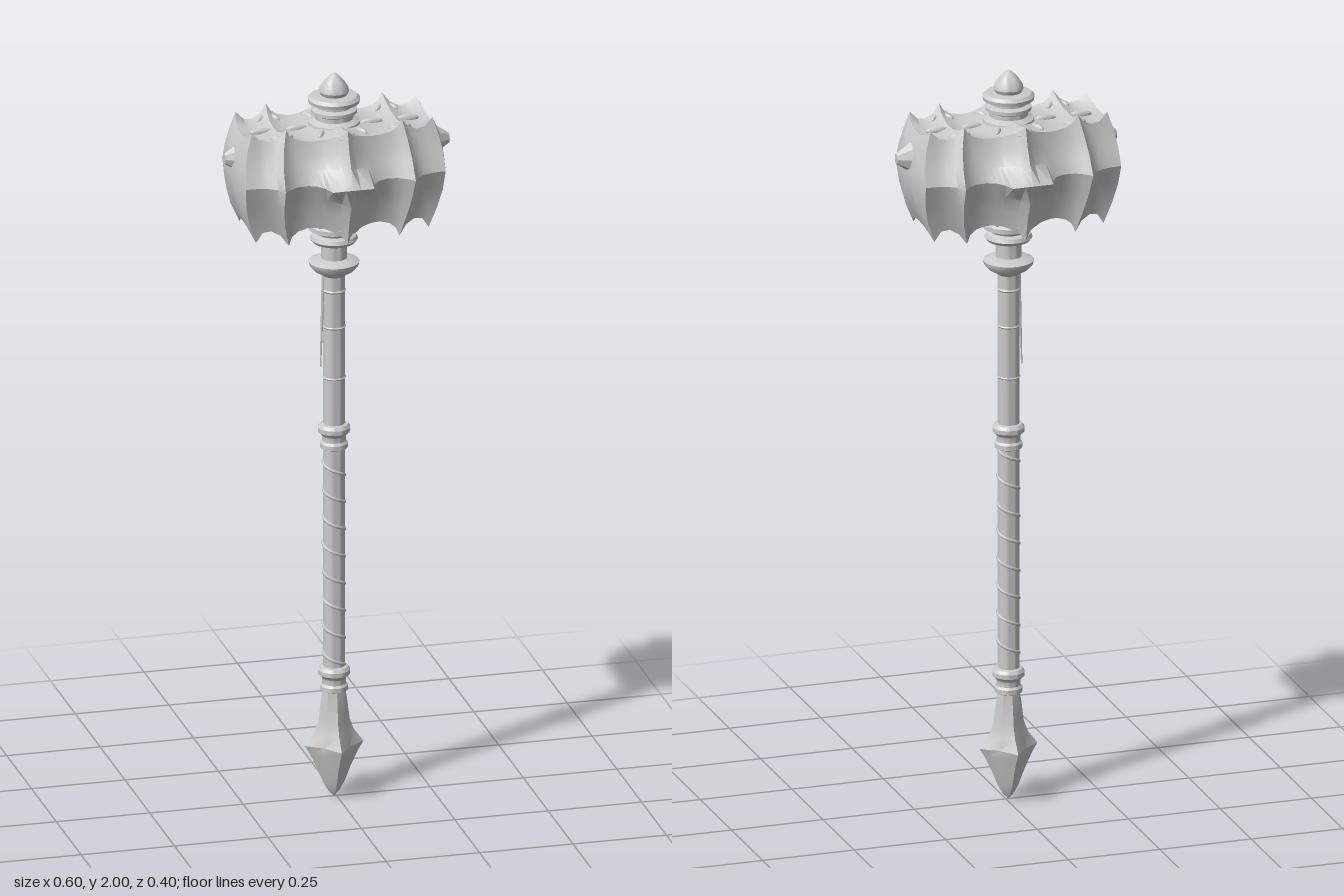
import * as THREE from 'three';
import { toCreasedNormals } from 'three/addons/utils/BufferGeometryUtils.js';

const grey = new THREE.MeshStandardMaterial({ color: 0xcccccc });
const HEAD_Y = 1.745;

function add(parent, name, geometry, x = 0, y = 0, z = 0) {
  const mesh = new THREE.Mesh(geometry, grey);
  mesh.name = name;
  mesh.position.set(x, y, z);
  parent.add(mesh);
  return mesh;
}

// Turned part from [radius, y] pairs, listed bottom to top
function turned(parent, name, profile, sides = 32) {
  const points = profile.map(([r, y]) => new THREE.Vector2(r, y));
  return add(parent, name, toCreasedNormals(new THREE.LatheGeometry(points, sides), 0.6));
}

// Skin a row of closed rings; each ring is a list of Vector3
function loft(rings, crease) {
  const n = rings[0].length, index = [];
  for (let i = 0; i < rings.length - 1; i++) {
    for (let j = 0; j < n; j++) {
      const a = i * n + j, b = i * n + (j + 1) % n;
      index.push(a, a + n, b, b, a + n, b + n);
    }
  }
  const g = new THREE.BufferGeometry().setFromPoints(rings.flat());
  g.setIndex(index);
  return toCreasedNormals(g, crease);
}

// Cross-section of the head: ridge tip, flank, corner ridge, hollow top, mirrored all round
function headSection(x, tip, side, cz, cy, top) {
  const quarter = [
    [tip, 0],
    [side * 0.66 + cz * 0.31, cy * 0.34],
    [side * 0.32 + cz * 0.64, cy * 0.66],
    [cz, cy],
    [cz * 0.7, top + (cy - top) * 0.4],
    [cz * 0.35, top + (cy - top) * 0.08],
    [0, top],
  ];
  const upper = [...quarter, ...quarter.slice(0, -1).reverse().map(([z, y]) => [-z, y])];
  const lower = upper.slice(1, -1).reverse().map(([z, y]) => [z, -y * 1.18]);
  return [...upper, ...lower].map(([z, y]) =>
    new THREE.Vector3(x * (1 - 5 * y * y), y, z));
}

function headGeometry() {
  // x, ridge tip z, flank z, corner z, corner y, top y
  const half = [
    [0, 0.2, 0.2, 0.14, 0.142, 0.125],
    [0.02, 0.199, 0.18, 0.123, 0.124, 0.122],
    [0.055, 0.2, 0.156, 0.11, 0.114, 0.118],
    [0.066, 0.168, 0.148, 0.107, 0.112, 0.116],
    [0.082, 0.146, 0.141, 0.104, 0.11, 0.112],
    [0.105, 0.135, 0.135, 0.1, 0.11, 0.108],
    [0.135, 0.138, 0.138, 0.1, 0.116, 0.108],
    [0.157, 0.152, 0.152, 0.1, 0.128, 0.112],
    [0.174, 0.17, 0.17, 0.102, 0.147, 0.118],
    [0.188, 0.145, 0.145, 0.095, 0.124, 0.112],
    [0.21, 0.13, 0.13, 0.09, 0.113, 0.106],
    [0.235, 0.123, 0.123, 0.086, 0.116, 0.106],
    [0.267, 0.121, 0.121, 0.084, 0.139, 0.112],
    [0.276, 0.08, 0.08, 0.058, 0.085, 0.075],
    [0.28, 0, 0, 0, 0, 0],
  ];
  const mirrored = half.slice(1).reverse().map(([x, ...rest]) => [-x, ...rest]);
  return loft([...mirrored, ...half].map((s) => headSection(...s)), 0.55);
}

// Pommel: four fins swelling out of a core
function pommelGeometry() {
  const levels = [[0.3, 0.03, 0.03], [0.25, 0.037, 0.033], [0.21, 0.042, 0.034], [0.18, 0.053, 0.038],
    [0.145, 0.079, 0.048], [0.12, 0.064, 0.043], [0.08, 0.045, 0.032], [0.04, 0.029, 0.021],
    [0.015, 0.015, 0.011], [0, 0, 0]];
  return loft(levels.map(([y, fin, core]) => Array.from({ length: 8 }, (_, i) => {
    const a = -i * Math.PI / 4, r = i % 2 ? core : fin;
    return new THREE.Vector3(r * Math.cos(a), y, r * Math.sin(a));
  })), 0.5);
}

export function createModel() {
  const model = new THREE.Group();
  model.name = 'warHammer';
  const body = new THREE.Group();
  body.name = 'hammerBody';
  body.position.x = -0.007;
  model.add(body);

  add(body, 'hammerHead', headGeometry(), 0, HEAD_Y);

  // Blunt stud on each striking end
  for (const s of [-1, 1]) {
    const stud = add(body, 'endStud', toCreasedNormals(new THREE.CylinderGeometry(0.011, 0.032, 0.04, 8), 0.5),
      s * 0.28 + 0.007, HEAD_Y + 0.045);
    stud.rotation.z = -s * Math.PI / 2;
    stud.scale.x = 1.3;
  }

  // Claws and arrowheads lying on the top and bottom faces
  const clawShape = new THREE.SphereGeometry(1, 14, 8);
  const claw = (x, y, z, length, turn) => {
    const c = add(body, 'claw', clawShape, x, y, z);
    c.scale.set(length, 0.011, 0.008);
    c.rotation.y = turn;
  };
  for (const top of [1, -1]) {
    const y = HEAD_Y + (top > 0 ? 0.109 : -0.129);
    for (const s of [-1, 1]) {
      claw(s * 0.1, y, 0, 0.03, 0);
      claw(s * 0.195, y, 0, 0.032, 0);
      for (const f of [-1, 1]) {
        claw(s * 0.053, y + top * 0.004, f * 0.073, 0.022, -s * f * 1.05);
        claw(s * 0.014, y + top * 0.007, f * 0.119, 0.025, s * f * 0.95);
        for (const arm of [-1, 1]) {
          claw(s * 0.158 + arm * 0.015, y + top * 0.004, f * 0.08, 0.022, arm * f * 0.85);
        }
      }
    }
  }

  // Finial and upper collar
  turned(body, 'finial', [
    [0.07, 1.84], [0.066, 1.868], [0.05, 1.876], [0.05, 1.888], [0.06, 1.893], [0.06, 1.902],
    [0.046, 1.907], [0.046, 1.917], [0.066, 1.92], [0.068, 1.93], [0.06, 1.938], [0.034, 1.94],
    [0.039, 1.95], [0.037, 1.96], [0.026, 1.977], [0.01, 1.994], [0, 2],
  ]);

  // Collar under the head, neck and flange
  turned(body, 'lowerCollar', [
    [0.027, 1.44], [0.036, 1.447], [0.052, 1.456], [0.064, 1.47], [0.066, 1.48], [0.05, 1.487],
    [0.034, 1.49], [0.034, 1.53], [0.055, 1.534], [0.062, 1.543], [0.058, 1.553], [0.046, 1.558],
    [0.05, 1.565], [0.066, 1.57], [0.066, 1.582], [0.055, 1.59], [0.07, 1.62], [0.08, 1.66],
  ]);

  // Shaft with faint bands on its upper half
  turned(body, 'shaft', [[0.028, 0.28], [0.028, 1.0], [0.029, 1.2], [0.028, 1.46]], 24);
  for (const y of [1.16, 1.3, 1.4]) {
    turned(body, 'shaftBand', [[0.028, y - 0.004], [0.031, y], [0.028, y + 0.004]], 24);
  }

  // Grip wrapping
  const wrap = [], turns = 8;
  for (let i = 0; i <= turns * 12; i++) {
    const t = i / (turns * 12), a = t * turns * Math.PI * 2;
    wrap.push(new THREE.Vector3(0.0275 * Math.cos(a), 0.36 + 0.6 * t, 0.0275 * Math.sin(a)));
  }
  add(body, 'gripWrap', new THREE.TubeGeometry(new THREE.CatmullRomCurve3(wrap), 300, 0.0045, 6));

  // Double rings above and below the grip
  for (const y of [1.0, 0.33]) {
    turned(body, 'gripRing', [
      [0.028, y - 0.038], [0.036, y - 0.034], [0.036, y - 0.022], [0.031, y - 0.016], [0.031, y - 0.002],
      [0.035, y + 0.004], [0.042, y + 0.01], [0.042, y + 0.022], [0.036, y + 0.03], [0.028, y + 0.032],
    ]);
  }

  // Thin strip hanging from the flange
  const strip = add(body, 'hangingStrip', new THREE.CylinderGeometry(0.005, 0.002, 0.27, 6), -0.032, 1.325, 0);
  strip.rotation.z = -0.03;

  add(body, 'pommel', pommelGeometry());
  return model;
}
